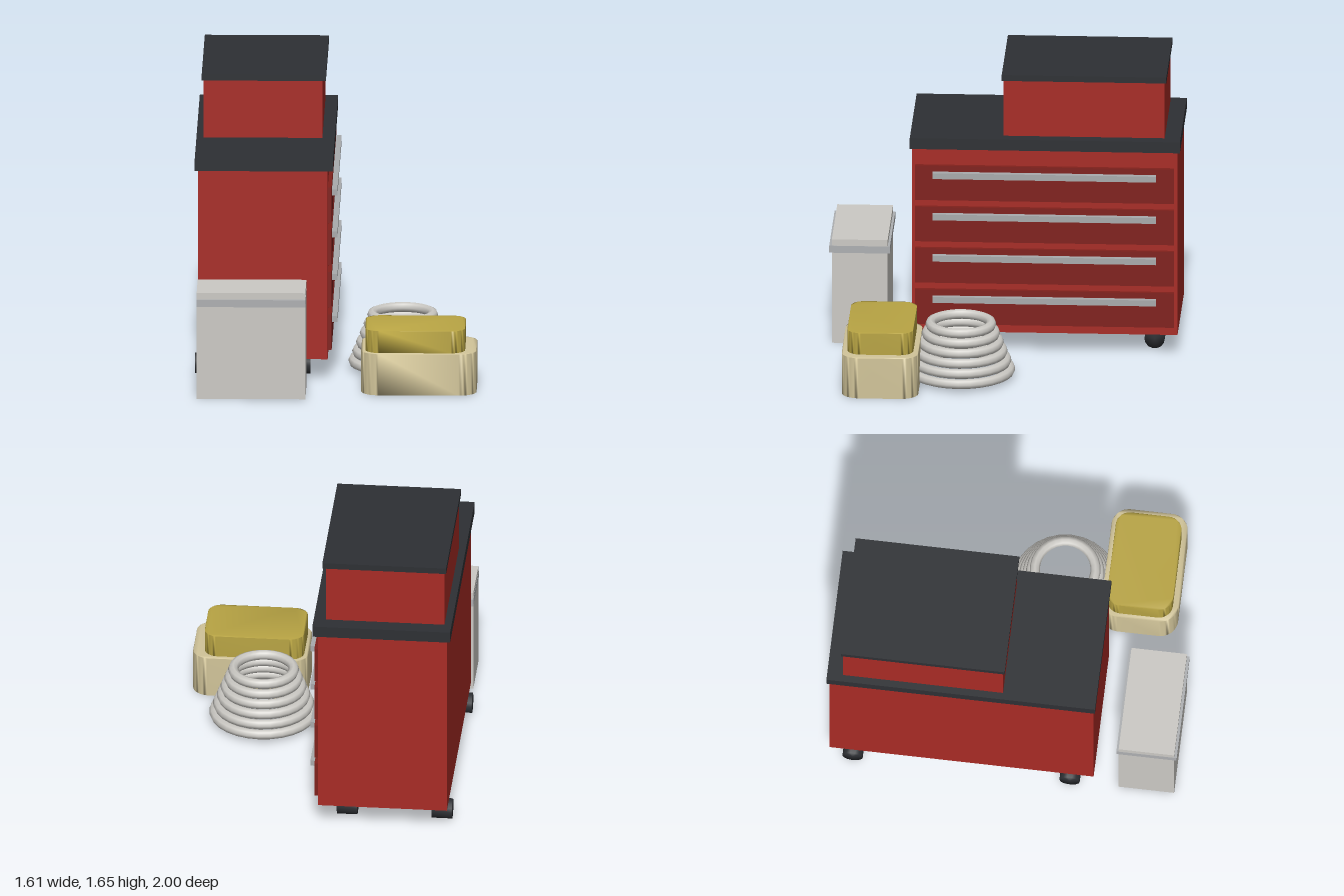
import * as THREE from 'three';
import { mergeVertices } from 'three/addons/utils/BufferGeometryUtils.js';

const paint = (color) => new THREE.MeshStandardMaterial({ color });
const red = paint(0xa82b25), darkRed = paint(0x80201b), black = paint(0x2e3034);
const steel = paint(0xa9abad), pale = paint(0xcccac5), band = paint(0xaeb0b2);
const beige = paint(0xd2c59a), yellow = paint(0xb9a544);

export function createModel() {
  const model = new THREE.Group();

  const add = (name, geometry, material, x = 0, y = 0, z = 0) => {
    const mesh = new THREE.Mesh(geometry, material);
    mesh.name = name;
    mesh.position.set(x, y, z);
    model.add(mesh);
    return mesh;
  };

  // Box given by its extents along each axis
  const block = (name, material, [x0, x1], [y0, y1], [z0, z1]) =>
    add(name, new THREE.BoxGeometry(x1 - x0, y1 - y0, z1 - z0), material,
      (x0 + x1) / 2, (y0 + y1) / 2, (z0 + z1) / 2);

  // Share vertices so that shading runs softly across the edges
  const soften = (geometry) => {
    geometry.deleteAttribute('normal');
    geometry.deleteAttribute('uv');
    const merged = mergeVertices(geometry, 1e-4);
    merged.computeVertexNormals();
    return merged;
  };

  // Upright slab with rounded corners in plan
  const pillow = (name, material, [x0, x1], [y0, y1], [z0, z1], r) => {
    const w = (x1 - x0) / 2 - r, d = (z1 - z0) / 2 - r;
    const shape = new THREE.Shape();
    shape.absarc(w, d, r, 0, Math.PI / 2);
    shape.absarc(-w, d, r, Math.PI / 2, Math.PI);
    shape.absarc(-w, -d, r, Math.PI, Math.PI * 1.5);
    shape.absarc(w, -d, r, Math.PI * 1.5, Math.PI * 2);
    shape.closePath();
    const geometry = new THREE.ExtrudeGeometry(shape, {
      depth: y1 - y0, bevelEnabled: false, curveSegments: 6,
    });
    geometry.rotateX(-Math.PI / 2);
    add(name, soften(geometry), material, (x0 + x1) / 2, y0, (z0 + z1) / 2);
  };

  // Tool cabinet with worktop and upper chest
  block('cabinetBody', red, [-0.785, -0.05], [0.12, 1.22], [-0.985, 0.525]);
  block('worktop', black, [-0.805, -0.02], [1.22, 1.285], [-1, 0.535]);
  block('upperChest', red, [-0.765, -0.09], [1.285, 1.62], [-0.91, 0.005]);
  block('upperChestLid', black, [-0.775, -0.07], [1.62, 1.655], [-0.92, 0.015]);

  // Drawers and their bar handles on the right-hand face
  for (let i = 0; i < 4; i++) {
    const y = 0.17 + i * 0.2475;
    block('drawerFront', darkRed, [-0.05, -0.028], [y, y + 0.207], [-0.965, 0.505]);
    block('drawerHandle', steel, [-0.028, 0.003], [y + 0.137, y + 0.172], [-0.865, 0.405]);
  }

  // Casters
  const wheel = soften(new THREE.CylinderGeometry(0.058, 0.058, 0.115, 14).rotateZ(Math.PI / 2));
  for (const x of [-0.748, -0.208])
    for (const z of [-0.85, 0.39]) add('casterWheel', wheel, black, x, 0.062, z);

  // Storage bin with a raised band front and back
  block('bin', pale, [-0.785, -0.168], [0, 0.62], [0.668, 0.985]);
  block('binBand', band, [-0.786, -0.167], [0.54, 0.582], [0.655, 1]);

  // Hose coil: stacked rings that narrow upward
  for (let i = 0; i < 6; i++) {
    const ring = new THREE.TorusGeometry(0.28 - i * 0.0215, 0.029, 8, 28).rotateX(Math.PI / 2);
    add('hoseRing', ring, pale, 0.37, 0.043 + i * 0.0535, 0.225);
  }

  // Bag and the folded cushion on it
  pillow('bag', beige, [0.145, 0.8], [0, 0.24], [0.45, 0.885], 0.1);
  pillow('cushion', yellow, [0.168, 0.735], [0.24, 0.368], [0.48, 0.855], 0.08);

  return model;
}
